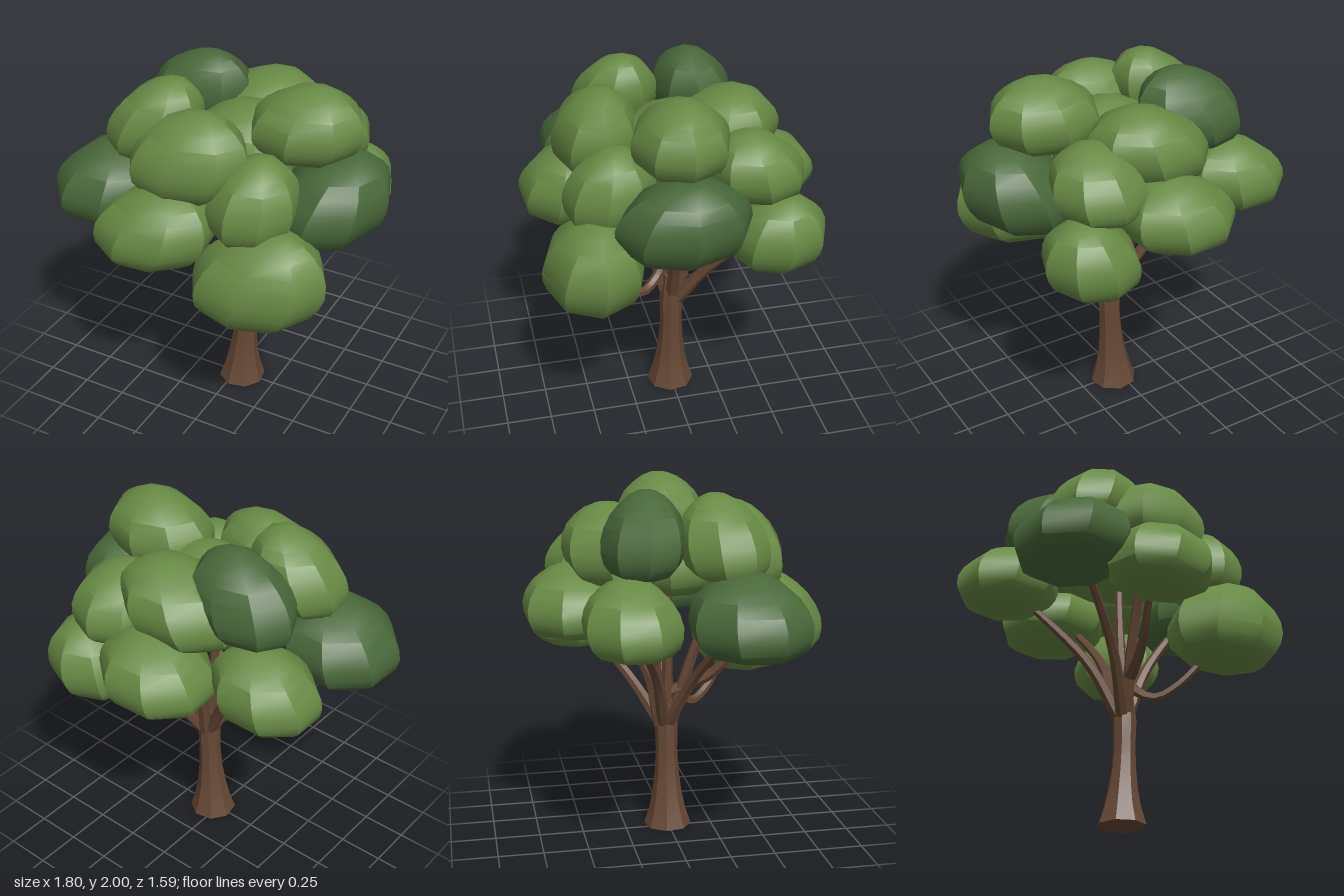
import * as THREE from 'three';
import { toCreasedNormals } from 'three/addons/utils/BufferGeometryUtils.js';

const V = (x, y, z) => new THREE.Vector3(x, y, z);

// Skin a stack of rings, listed from top to bottom, each running from +x towards +z.
function loft(rings, crease) {
  const n = rings[0].length, index = [];
  for (let i = 0; i < rings.length - 1; i++) {
    for (let j = 0; j < n; j++) {
      const a = i * n + j, b = i * n + (j + 1) % n, c = a + n, d = b + n;
      if (rings[i][0].distanceTo(rings[i][1]) > 1e-5) index.push(a, b, d);
      if (rings[i + 1][0].distanceTo(rings[i + 1][1]) > 1e-5) index.push(a, d, c);
    }
  }
  const g = new THREE.BufferGeometry().setFromPoints(rings.flat());
  g.setIndex(index);
  return toCreasedNormals(g, crease);
}

// Foliage profile: [radius, height], domed above and rounded below.
const PROFILE = [[0, 1], [0.2, 0.99], [0.43, 0.87], [0.63, 0.69], [0.81, 0.46], [0.94, 0.17], [1, -0.13],
  [0.98, -0.4], [0.9, -0.66], [0.73, -0.86], [0.45, -0.97], [0, -1]];

// Faceted leaf clump filling a box, leaning so that its crown sits at (ax, az).
function clump(xr, yr, zr, ax, az, turn) {
  const sides = 8;
  const lean = ([lo, hi], c) => (2 * c - lo - hi) / (hi - lo);
  const lx = lean(xr, ax), lz = lean(zr, az);
  const rings = PROFILE.map(([r, y]) => Array.from({ length: sides }, (_, j) => {
    const a = turn + (j / sides) * Math.PI * 2;
    return V(Math.cos(a) * r + lx * y, y, Math.sin(a) * r + lz * y);
  }));
  const points = rings.flat();
  for (const [axis, [lo, hi]] of [['x', xr], ['y', yr], ['z', zr]]) {
    const values = points.map(p => p[axis]);
    const min = Math.min(...values), max = Math.max(...values);
    points.forEach(p => { p[axis] = lo + ((p[axis] - min) / (max - min)) * (hi - lo); });
  }
  return loft(rings, 0.6);
}

// Tapered branch along a smooth curve.
function branch(points, r0, r1) {
  const curve = new THREE.CatmullRomCurve3(points), steps = 12, sides = 6;
  const g = new THREE.TubeGeometry(curve, steps, 1, sides);
  const p = g.attributes.position, v = V(0, 0, 0);
  for (let i = 0; i <= steps; i++) {
    const c = curve.getPointAt(i / steps), r = r0 + (r1 - r0) * (i / steps);
    for (let j = 0; j <= sides; j++) {
      const k = i * (sides + 1) + j;
      v.fromBufferAttribute(p, k).sub(c).multiplyScalar(r).add(c);
      p.setXYZ(k, v.x, v.y, v.z);
    }
  }
  g.deleteAttribute('uv');
  g.deleteAttribute('normal');
  return toCreasedNormals(g, 0.7);
}

export function createModel() {
  const tree = new THREE.Group();
  tree.name = 'tree';
  const mat = (name, color) => {
    const m = new THREE.MeshStandardMaterial({ color });
    m.name = name;
    return m;
  };
  const bark = mat('bark', 0x664835);
  const leaf = mat('leafGreen', 0x688a45);
  const dark = mat('darkLeafGreen', 0x49683a);
  const add = (name, geometry, material) => {
    const m = new THREE.Mesh(geometry, material);
    m.name = name;
    tree.add(m);
  };

  // Flared trunk: [height, radius, centre x]
  const trunk = [[0.76, 0, 0.07], [0.76, 0.045, 0.07], [0.6, 0.066, 0.068], [0.45, 0.062, 0.064],
    [0.32, 0.069, 0.058], [0.2, 0.084, 0.05], [0.1, 0.104, 0.045], [0, 0.135, 0.042], [0, 0, 0.042]];
  add('trunk', loft(trunk.map(([y, r, x]) => Array.from({ length: 8 }, (_, j) => {
    const a = 0.2 + (j / 8) * Math.PI * 2;
    return V(x + Math.cos(a) * r, y, Math.sin(a) * r);
  })), 0.6), bark);

  // Branches fanning out into the clumps
  const paths = [
    [V(0.04, 0.62, 0.01), V(-0.13, 0.92, 0.12), V(-0.5, 1.3, 0.28)],
    [V(0.05, 0.8, 0.03), V(-0.04, 0.92, 0.24), V(-0.18, 1.25, 0.48)],
    [V(0.05, 0.64, 0.03), V(-0.01, 1.1, 0.16), V(-0.07, 1.6, 0.36)],
    [V(0.09, 0.6, -0.03), V(0.2, 0.87, -0.2), V(0.42, 1.18, -0.47)],
    [V(0.06, 0.6, -0.04), V(0.03, 0.95, -0.13), V(0, 1.3, -0.4)],
    [V(0.04, 0.62, -0.02), V(-0.13, 0.92, -0.09), V(-0.5, 1.3, -0.28)],
    [V(0.09, 0.64, 0), V(0.22, 0.94, 0.01), V(0.55, 1.4, 0.04)],
    [V(0.065, 0.62, 0), V(0.03, 1.1, 0), V(0.02, 1.6, 0)],
    [V(0.08, 0.62, -0.03), V(0.15, 1, -0.09), V(0.33, 1.5, -0.36)],
  ];
  paths.forEach((p, i) => add(`branch${i + 1}`, branch(p, 0.038, 0.018), bark));
  add('droopingBranch', branch([V(0.05, 0.84, 0.03), V(0.08, 0.75, 0.09), V(0.14, 0.71, 0.17),
    V(0.22, 0.78, 0.28), V(0.34, 0.98, 0.42)], 0.03, 0.02), bark);

  // Leaf clumps: name, x range, y range, z range, crown x, crown z, turn, colour
  const clumps = [
    ['backClump', [-0.33, 0.28], [1.18, 1.57], [-0.8, -0.25], 0.02, -0.52, 0.35, leaf],
    ['upperBackClump', [-0.33, 0.33], [1.45, 1.88], [-0.58, 0], 0.08, -0.32, 0.3, leaf],
    ['backRightClump', [0.2, 0.72], [1.01, 1.44], [-0.75, -0.22], 0.5, -0.5, 0, leaf],
    ['upperRightBackClump', [0.1, 0.61], [1.38, 1.76], [-0.65, -0.12], 0.37, -0.34, 0, leaf],
    ['backLeftClump', [-0.83, -0.27], [1.17, 1.57], [-0.54, -0.05], -0.5, -0.3, 0.4, leaf],
    ['upperLeftClump', [-0.63, -0.01], [1.54, 1.98], [-0.42, 0.03], -0.25, -0.17, 0.05, dark],
    ['upperFrontLeftClump', [-0.62, -0.11], [1.52, 1.96], [-0.01, 0.45], -0.28, 0.2, 0.3, leaf],
    ['topRightClump', [0.11, 0.74], [1.61, 2], [-0.22, 0.29], 0.46, 0.03, 0, leaf],
    ['rightClump', [0.28, 0.9], [1.19, 1.68], [-0.3, 0.41], 0.67, 0.04, 0, dark],
    ['upperFrontClump', [-0.42, 0.27], [1.43, 1.89], [0.15, 0.62], -0.02, 0.36, 0, leaf],
    ['frontRightClump', [0.06, 0.54], [1.27, 1.72], [0.14, 0.62], 0.32, 0.35, 0.2, leaf],
    ['frontClump', [-0.52, 0.14], [1.09, 1.52], [0.3, 0.79], -0.12, 0.52, 0.3, leaf],
    ['lowFrontRightClump', [0, 0.76], [0.86, 1.39], [0.21, 0.76], 0.46, 0.47, 0, leaf],
    ['leftClump', [-0.9, -0.28], [1.15, 1.59], [0, 0.62], -0.54, 0.3, 0.45, dark],
    ['centreClump', [-0.28, 0.38], [1.38, 1.82], [-0.28, 0.3], 0.08, 0, 0.2, leaf],
  ];
  clumps.forEach(([name, x, y, z, ax, az, turn, material]) =>
    add(name, clump(x, y, z, ax, az, turn), material));

  return tree;
}
